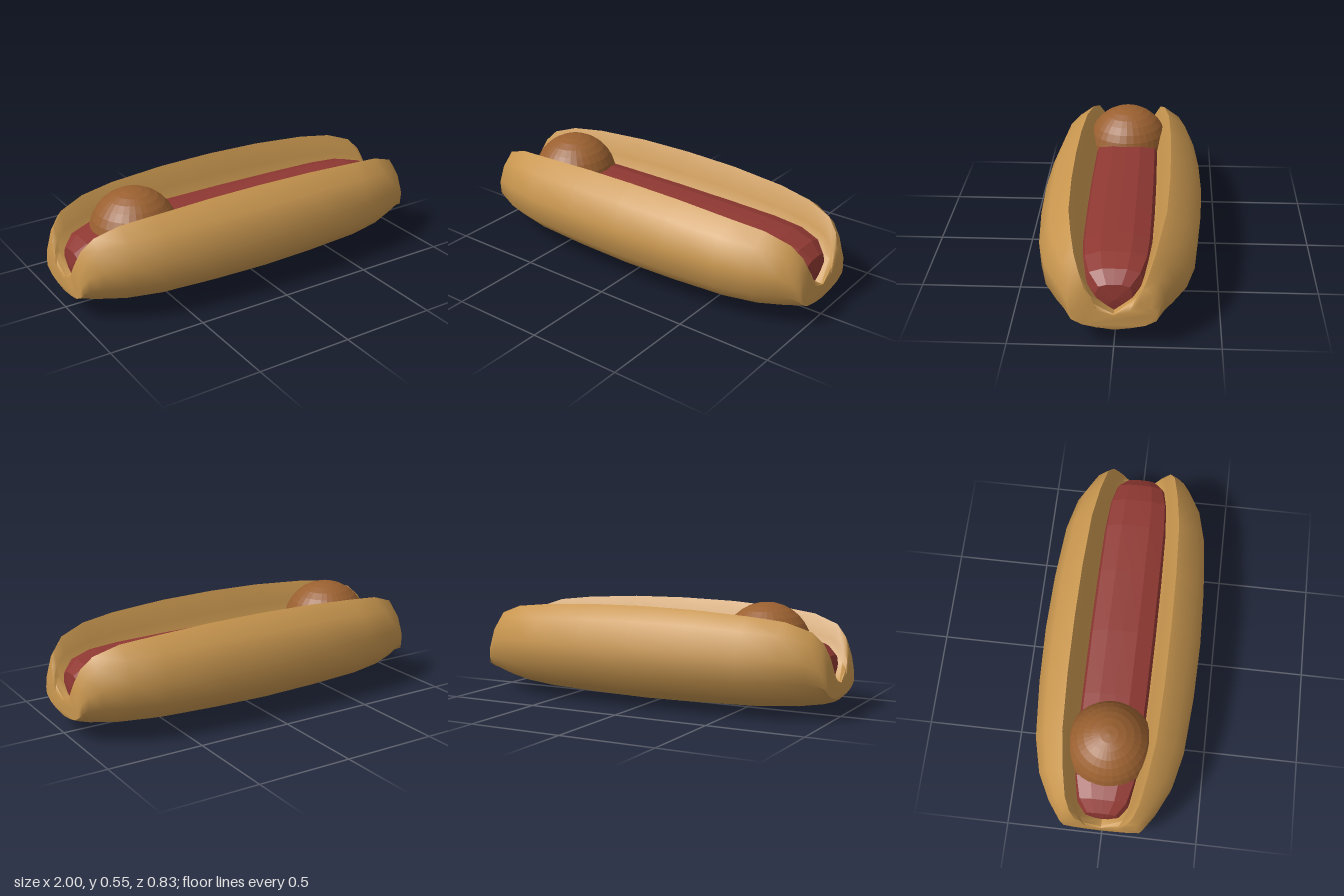
import * as THREE from 'three';
import { toCreasedNormals } from 'three/addons/utils/BufferGeometryUtils.js';

const mat = (color, flatShading = false) => new THREE.MeshStandardMaterial({ color, flatShading });

function part(name, geometry, material) {
  const mesh = new THREE.Mesh(geometry, material);
  mesh.name = name;
  return mesh;
}

// Closed U-shaped bun section as [z, y]: outer crust, lip, inner wall, then mirrored
function bunSection(halfWidth, bottom, top, lip) {
  const floor = 0.175;
  const outer = [[0, 0], [0.4, 0.057], [0.727, 0.163], [0.98, 0.363], [1, 0.62], [0.86, 0.87]]
    .map(([z, y]) => [z * halfWidth, bottom + y * (top - bottom)]);
  const inner = [[1, 1], [0.78, 0.7], [0.68, 0.4], [0, 0]]
    .map(([z, y]) => [z * lip, floor + y * (top - floor)]);
  const half = [...outer, ...inner];
  return [...half, ...half.slice(1, -1).reverse().map(([z, y]) => [-z, y])];
}

function bunGeometry() {
  // x, half width, bottom, top, lip offset
  const stations = [
    [0, 0.413, 0.005, 0.528, 0.25],
    [0.3, 0.405, 0.01, 0.523, 0.247],
    [0.6, 0.382, 0.02, 0.505, 0.235],
    [0.78, 0.34, 0.035, 0.485, 0.21],
    [0.91, 0.275, 0.058, 0.44, 0.185],
    [0.965, 0.235, 0.075, 0.38, 0.16],
    [0.99, 0.215, 0.09, 0.31, 0.135],
    [1, 0.2, 0.1, 0.235, 0.11],
  ];
  const mirrored = stations.slice(1).reverse().map(([x, ...rest]) => [-x, ...rest]);
  const all = [...mirrored, ...stations];
  const rings = all.map(([, ...s]) => bunSection(...s));
  const n = rings[0].length;
  const positions = [];
  const index = [];
  rings.forEach((ring, i) => ring.forEach(([z, y]) => positions.push(all[i][0], y, z)));

  // Skin between neighbouring sections
  for (let i = 0; i < rings.length - 1; i++) {
    for (let j = 0; j < n; j++) {
      const a = i * n + j, c = i * n + (j + 1) % n;
      index.push(a, a + n, c, c, a + n, c + n);
    }
  }

  // End caps
  const outline = rings[0].map(([z, y]) => new THREE.Vector2(z, y));
  const last = (rings.length - 1) * n;
  for (const tri of THREE.ShapeUtils.triangulateShape(outline, [])) {
    const ccw = THREE.ShapeUtils.area(tri.map((k) => outline[k])) > 0;
    const [a, b, c] = ccw ? tri : [...tri].reverse();
    index.push(a, b, c, last + a, last + c, last + b);
  }

  const geo = new THREE.BufferGeometry();
  geo.setAttribute('position', new THREE.Float32BufferAttribute(positions, 3));
  geo.setIndex(index);
  return toCreasedNormals(geo, 0.95);
}

// Blunt sausage with a squared-off round section
function sausageGeometry() {
  const end = [[0, 1], [0.35, 0.99], [0.62, 0.97], [0.78, 0.91], [0.89, 0.74], [0.95, 0.45], [0.96, 0]];
  const profile = [...end.slice(1).reverse().map(([x, r]) => [-x, r]), ...end]
    .map(([x, r]) => new THREE.Vector2(r, x));
  const geo = new THREE.LatheGeometry(profile, 16).rotateZ(-Math.PI / 2);
  const p = geo.attributes.position;
  for (let i = 0; i < p.count; i++) {
    const y = p.getY(i), z = p.getZ(i);
    const r = Math.hypot(y, z);
    const k = r > 1e-6 ? r / Math.pow(y ** 4 + z ** 4, 0.25) : 0;
    p.setXYZ(i, p.getX(i), 0.23 + y * k * 0.17, z * k * 0.19);
  }
  geo.computeVertexNormals();
  return geo;
}

export function createModel() {
  const group = new THREE.Group();
  group.name = 'hotDog';

  group.add(part('bun', bunGeometry(), mat(0xc8964f)));
  group.add(part('sausage', sausageGeometry(), mat(0x8f3832, true)));

  // Ball resting on the sausage near one end
  const ball = part('meatball', new THREE.SphereGeometry(0.228, 32, 16), mat(0x9a6030, true));
  ball.position.set(-0.6, 0.327, 0);
  group.add(ball);

  return group;
}
